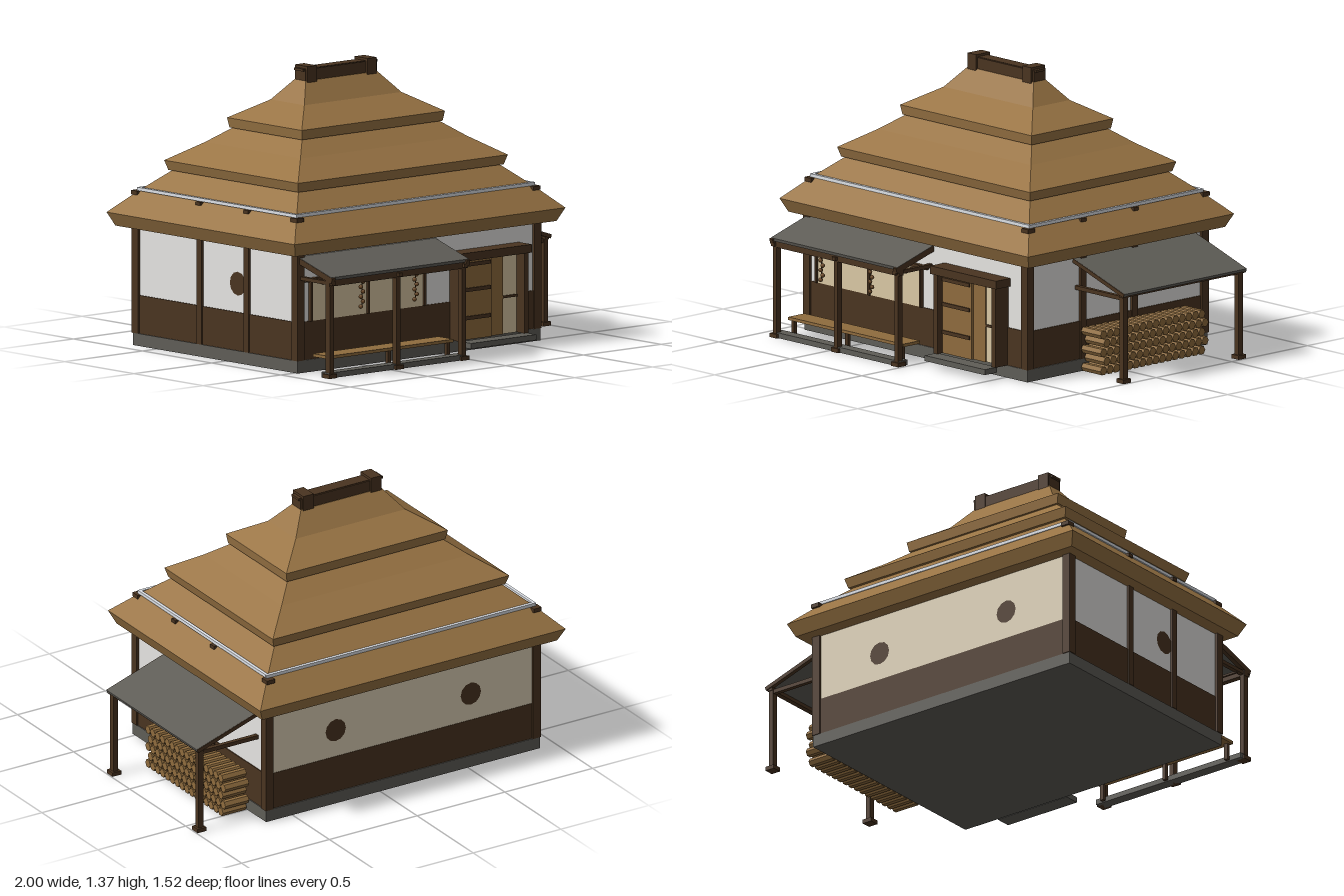
import * as THREE from 'three';

const material = (name, color) => {
  const m = new THREE.MeshStandardMaterial({ color });
  m.name = name;
  return m;
};
const thatch = material('thatch', 0x997444);
const darkWood = material('darkWood', 0x4a3420);
const lightWood = material('lightWood', 0x8f6c3e);
const plaster = material('plaster', 0xe6e5e2);
const limewash = material('limewash', 0xe0d4ba);
const paper = material('paper', 0xdbc9a5);
const stone = material('stone', 0x5f5d57);
const pale = material('paleRail', 0xe4e8ee);
const driedFruit = material('driedFruit', 0x704c28);

// House centre, and half sizes of the body
const CX = -0.13, CZ = -0.075, HX = 0.78, HZ = 0.595;

export function createModel() {
  const model = new THREE.Group();
  model.name = 'thatchedHouse';

  const group = (name) => {
    const g = new THREE.Group();
    g.name = name;
    model.add(g);
    return g;
  };
  // Box given by its limits on each axis
  const box = (parent, name, mat, [x0, x1], [y0, y1], [z0, z1]) => {
    const mesh = new THREE.Mesh(new THREE.BoxGeometry(x1 - x0, y1 - y0, z1 - z0), mat);
    mesh.position.set((x0 + x1) / 2, (y0 + y1) / 2, (z0 + z1) / 2);
    mesh.name = name;
    parent.add(mesh);
  };
  const around = (c, w) => [c - w / 2, c + w / 2];
  // Straight bar between two points, w wide and h high
  const bar = (parent, name, mat, a, b, w, h) => {
    const p = new THREE.Vector3(...a), q = new THREE.Vector3(...b);
    const mesh = new THREE.Mesh(new THREE.BoxGeometry(w, h, p.distanceTo(q)), mat);
    mesh.position.copy(p).add(q).multiplyScalar(0.5);
    mesh.lookAt(q);
    mesh.name = name;
    parent.add(mesh);
  };
  const footedPost = (parent, x, z, top) => {
    box(parent, 'post', darkWood, around(x, 0.026), [0, top], around(z, 0.03));
    box(parent, 'postFoot', darkWood, around(x, 0.05), [0, 0.02], around(z, 0.05));
  };

  // Body: plinth, dark wainscot and plaster walls
  const body = group('body');
  const bx = [CX - HX, CX + HX], bz = [CZ - HZ, CZ + HZ];
  box(body, 'plinth', stone, bx, [0, 0.06], bz);
  const wx = [bx[0] + 0.01, bx[1] - 0.01], wz = [bz[0] + 0.01, bz[1] - 0.01];
  box(body, 'wainscot', darkWood, [bx[0] + 0.005, bx[1] - 0.005], [0.06, 0.246], [bz[0] + 0.005, bz[1] - 0.005]);
  box(body, 'plasterWalls', plaster, wx, [0.246, 0.6], wz);
  box(body, 'backWallPanel', limewash, wx, [0.246, 0.6], [wz[0] - 0.003, wz[0]]);
  for (const sx of [-1, 1]) {
    for (const sz of [-1, 1])
      box(body, 'cornerPost', darkWood, around(CX + sx * 0.762, 0.045), [0.06, 0.6], around(CZ + sz * 0.577, 0.045));
    for (const z of [0.15, -0.19])
      box(body, 'wallPost', darkWood, around(CX + sx * 0.765, 0.036), [0.06, 0.6], around(z, 0.036));
  }

  // Small round windows on the back and left walls
  const roundWindow = (x, z, ry) => {
    const disc = new THREE.Mesh(new THREE.CircleGeometry(0.058, 12), darkWood);
    disc.position.set(x, 0.385, z);
    disc.rotation.y = ry;
    disc.name = 'roundWindow';
    body.add(disc);
  };
  roundWindow(-0.52, wz[0] - 0.005, Math.PI);
  roundWindow(0.25, wz[0] - 0.005, Math.PI);
  roundWindow(wx[0] - 0.003, 0.08, -Math.PI / 2);

  // Thatched roof: rectangular rings following a stepped profile [half depth, height]
  const profile = [
    [0.65, 0.58], [0.68, 0.645], [0.57, 0.752], [0.455, 0.853], [0.47, 0.853], [0.484, 0.9],
    [0.345, 0.99], [0.25, 1.062], [0.262, 1.062], [0.27, 1.11], [0.122, 1.2], [0.04, 1.3],
  ];
  const ring = ([h, y]) => [[-1, 1], [1, 1], [1, -1], [-1, -1]].map(([sx, sz]) => [CX + sx * (h + 0.19), y, -0.08 + sz * h]);
  const tris = [];
  const quad = (a, b, c, d) => tris.push(...a, ...b, ...c, ...a, ...c, ...d);
  for (let i = 0; i < profile.length - 1; i++) {
    const lo = ring(profile[i]), hi = ring(profile[i + 1]);
    for (let k = 0; k < 4; k++) {
      const n = (k + 1) % 4;
      quad(lo[k], lo[n], hi[n], hi[k]);
    }
  }
  quad(...ring(profile[0]).reverse());
  quad(...ring(profile[profile.length - 1]));
  const roofGeo = new THREE.BufferGeometry();
  roofGeo.setAttribute('position', new THREE.Float32BufferAttribute(tris, 3));
  roofGeo.computeVertexNormals();
  const roof = new THREE.Mesh(roofGeo, thatch);
  roof.name = 'thatchedRoof';
  model.add(roof);

  // Ridge beam with end blocks
  const ridge = group('ridge');
  box(ridge, 'ridgeBeam', darkWood, [-0.36, 0.1], [1.295, 1.355], [-0.118, -0.042]);
  box(ridge, 'ridgeCap', darkWood, [-0.372, 0.108], [1.346, 1.358], [-0.112, -0.048]);
  for (const x of [-0.325, 0.06])
    box(ridge, 'ridgeBlock', darkWood, around(x, 0.06), [1.288, 1.37], [-0.125, -0.033]);

  // Pale rail around the roof, on dark brackets
  const rail = group('roofRail');
  for (const z of [-0.647, 0.488])
    box(rail, 'railLong', pale, [-0.897, 0.637], [0.752, 0.768], around(z, 0.016));
  for (const x of [-0.89, 0.63]) {
    box(rail, 'railShort', pale, around(x, 0.016), [0.752, 0.768], [-0.647, 0.488]);
    for (const z of [-0.66, 0.495])
      box(rail, 'cornerBracket', darkWood, around(x, 0.045), [0.732, 0.752], around(z, 0.045));
  }
  for (const x of [-0.902, 0.642])
    for (const z of [-0.195, 0.15])
      box(rail, 'sideBracket', darkWood, around(x, 0.026), [0.735, 0.752], around(z, 0.032));

  // Front porch: sloping slate roof on posts
  const porch = group('porch');
  bar(porch, 'porchRoof', stone, [-0.457, 0.558, 0.505], [-0.457, 0.484, 0.75], 0.885, 0.016);
  for (const x of [-0.89, -0.025])
    bar(porch, 'porchRafter', darkWood, [x, 0.548, 0.51], [x, 0.474, 0.757], 0.022, 0.028);
  box(porch, 'porchBeam', darkWood, [-0.9, -0.015], [0.446, 0.476], around(0.725, 0.03));
  for (const x of [-0.885, -0.457, -0.035]) {
    footedPost(porch, x, 0.725, 0.47);
    box(porch, 'tieBeam', darkWood, around(x, 0.022), [0.452, 0.47], [0.51, 0.755]);
  }
  box(porch, 'hangingRail', darkWood, [-0.885, -0.035], [0.447, 0.457], around(0.67, 0.012));
  box(porch, 'porchSill', stone, [-0.9, -0.02], [0, 0.026], [0.68, 0.737]);

  // Bench
  const bench = group('bench');
  box(bench, 'benchTop', lightWood, [-0.855, -0.05], [0.082, 0.097], [0.57, 0.68]);
  for (const x of [-0.83, -0.455, -0.075])
    box(bench, 'benchLeg', darkWood, around(x, 0.02), [0, 0.083], around(0.663, 0.018));

  // Paper window behind the porch
  const win = group('paperWindow');
  box(win, 'windowPaper', paper, [-0.825, -0.095], [0.246, 0.445], [0.51, 0.517]);
  for (const x of [-0.825, -0.457, -0.095])
    box(win, 'windowMullion', darkWood, around(x, 0.012), [0.246, 0.45], [0.51, 0.528]);
  box(win, 'windowHead', darkWood, [-0.865, -0.05], [0.438, 0.456], [0.51, 0.53]);

  // Hanging strings of dried fruit
  const bead = new THREE.SphereGeometry(0.011, 8, 6);
  for (const x of [-0.63, -0.285]) {
    const strand = group('hangingString');
    box(strand, 'cord', darkWood, around(x, 0.004), [0.31, 0.455], around(0.67, 0.004));
    for (let i = 0; i < 6; i++) {
      const m = new THREE.Mesh(bead, driedFruit);
      m.position.set(x + (i % 2 ? 0.007 : -0.007), 0.315 + i * 0.024, 0.67);
      m.name = 'bead';
      strand.add(m);
    }
  }

  // Entrance: deep frame, sliding doors and step
  const door = group('entrance');
  box(door, 'lintel', darkWood, [0.06, 0.52], [0.45, 0.49], [0.51, 0.605]);
  for (const x of [0.087, 0.493])
    box(door, 'jamb', darkWood, around(x, 0.026), [0.06, 0.45], [0.51, 0.595]);
  box(door, 'plankDoor', lightWood, [0.1, 0.3], [0.06, 0.45], [0.51, 0.56]);
  for (const y of [0.165, 0.302, 0.425])
    box(door, 'doorBatten', darkWood, [0.103, 0.29], around(y, 0.018), [0.555, 0.567]);
  box(door, 'slidingDoor', lightWood, [0.3, 0.385], [0.06, 0.45], [0.51, 0.547]);
  box(door, 'paperDoor', paper, [0.385, 0.48], [0.06, 0.45], [0.51, 0.54]);
  box(door, 'paperDoorRail', darkWood, [0.385, 0.48], around(0.24, 0.012), [0.535, 0.546]);
  box(door, 'doorStep', stone, [0.08, 0.5], [0.033, 0.06], [0.58, 0.66]);

  // Lean-to on the left side
  const shed = group('leanTo');
  bar(shed, 'leanToRoof', stone, [0.64, 0.553, -0.195], [0.997, 0.436, -0.195], 0.805, 0.014);
  box(shed, 'eaveBeam', darkWood, around(0.972, 0.026), [0.42, 0.438], [-0.595, 0.205]);
  for (const z of [0.185, -0.575]) {
    footedPost(shed, 0.97, z, 0.43);
    box(shed, 'tieBeam', darkWood, [0.64, 0.98], [0.405, 0.425], around(z, 0.022));
  }
  for (const z of [0.2, -0.59])
    bar(shed, 'rafter', darkWood, [0.64, 0.55, z], [0.995, 0.433, z], 0.022, 0.019);

  // Stacked firewood
  const pile = group('firewood');
  const log = new THREE.CylinderGeometry(0.022, 0.022, 0.135, 6).toNonIndexed();
  log.computeVertexNormals();
  log.rotateZ(Math.PI / 2);
  for (let row = 0; row < 5; row++)
    for (let i = 0; i < 16; i++) {
      const m = new THREE.Mesh(log, lightWood);
      m.position.set(0.73, 0.023 + row * 0.0445, 0.155 - i * 0.0433 - (row % 2) * 0.022);
      m.name = 'log';
      pile.add(m);
    }

  return model;
}
